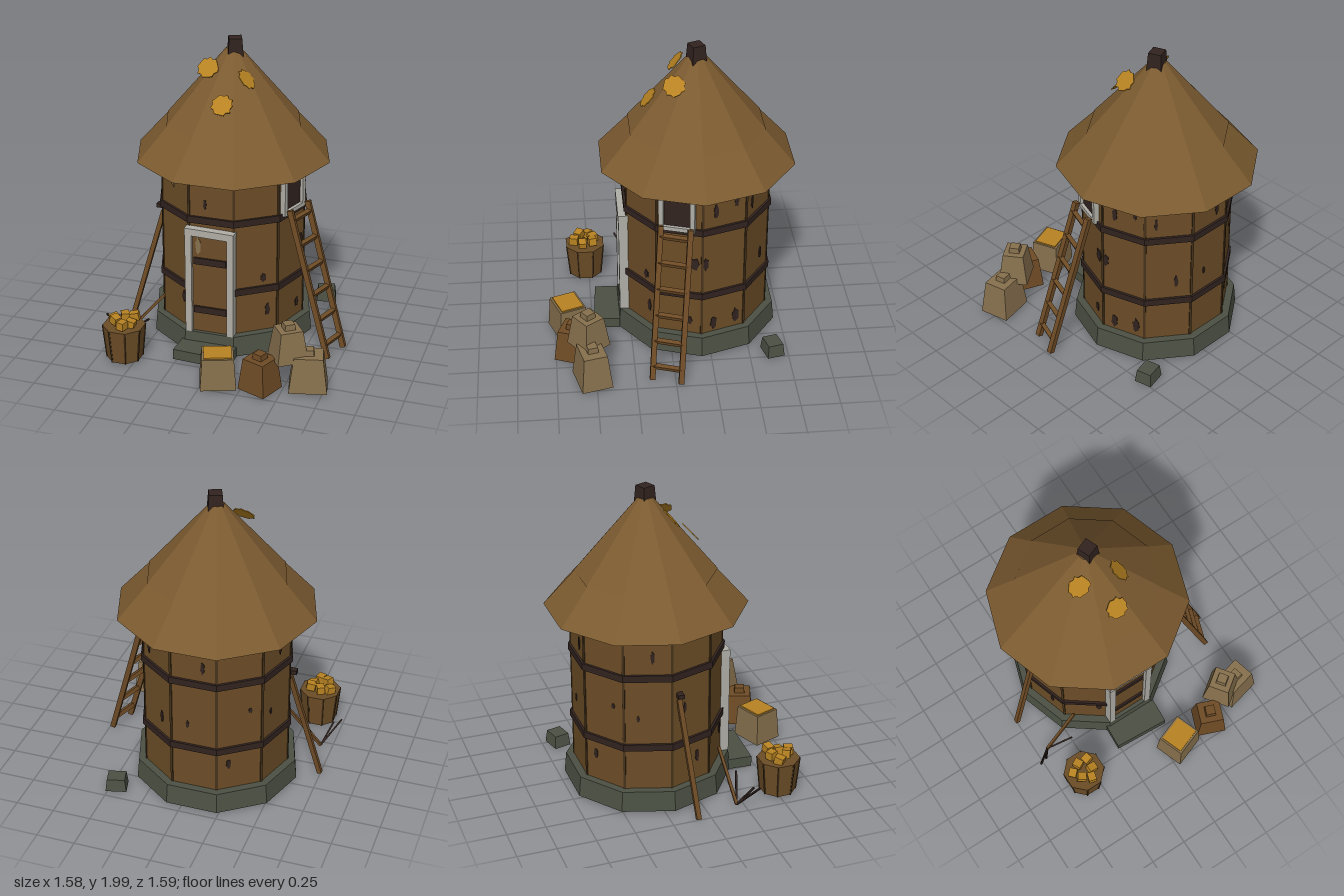
import * as THREE from 'three';

const mat = (name, color) => {
  const m = new THREE.MeshStandardMaterial({ color, side: THREE.DoubleSide });
  m.name = name;
  return m;
};

export function createModel() {
  const model = new THREE.Group();
  const M = {
    thatch: mat('thatch', 0x7c5b30),
    plank: mat('plank wood', 0x6c4d27),
    seam: mat('dark wood', 0x45321a),
    iron: mat('iron', 0x31231f),
    stone: mat('stone', 0x4c5144),
    frame: mat('pale trim', 0xb0aea6),
    straw: mat('straw', 0xb88322),
    sack: mat('sackcloth', 0x86704d),
    pole: mat('pole wood', 0x6e4b25),
  };
  const CX = -0.073, CZ = -0.19, APOTHEM = 0.48 * Math.cos(Math.PI / 10);
  const V = (...p) => new THREE.Vector3(...p);

  // Faceted mesh helper
  function add(parent, name, geo, material, x = 0, y = 0, z = 0, ry = 0) {
    const g = geo.index ? geo.toNonIndexed() : geo;
    g.computeVertexNormals();
    const mesh = new THREE.Mesh(g, material);
    mesh.name = name;
    mesh.position.set(x, y, z);
    mesh.rotation.y = ry;
    parent.add(mesh);
    return mesh;
  }
  const box = (w, h, d) => new THREE.BoxGeometry(w, h, d);
  function group(name, x = 0, y = 0, z = 0, ry = 0, parent = model) {
    const g = new THREE.Group();
    g.name = name;
    g.position.set(x, y, z);
    g.rotation.y = ry;
    parent.add(g);
    return g;
  }
  // Ten-sided ring section between two heights
  function ring(name, rTop, rBottom, y0, y1, material) {
    const g = new THREE.CylinderGeometry(rTop, rBottom, y1 - y0, 10, 1, false, Math.PI / 2);
    return add(model, name, g, material, CX, (y0 + y1) / 2, CZ);
  }
  // Four-sided tapered block standing on y = 0
  function taper(w, h, d, top) {
    const r = Math.SQRT1_2;
    const g = new THREE.CylinderGeometry(r * top, r, h, 4, 1, false, Math.PI / 4);
    return g.scale(w, 1, d).translate(0, h / 2, 0);
  }
  // Square bar between two points
  function bar(parent, name, a, b, w, material, d = w) {
    const m = add(parent, name, box(w, a.distanceTo(b), d), material);
    m.position.copy(a).lerp(b, 0.5);
    m.quaternion.setFromUnitVectors(V(0, 1, 0), b.clone().sub(a).normalize());
    return m;
  }
  // Ragged flat outline
  function ragged(rx, ry, n, seed, rough) {
    const pts = [];
    for (let i = 0; i < n; i++) {
      const a = i / n * Math.PI * 2;
      const k = 1 - rough * (0.5 + 0.5 * Math.sin(i * 2.7 + seed * 1.9));
      pts.push(new THREE.Vector2(Math.cos(a) * rx * k, Math.sin(a) * ry * k));
    }
    return new THREE.ExtrudeGeometry(new THREE.Shape(pts), { depth: 0.006, bevelEnabled: false });
  }

  // Tower body
  ring('stoneBase', 0.53, 0.543, 0.02, 0.155, M.stone);
  ring('wall', 0.48, 0.48, 0.155, 1.235, M.plank);
  ring('lowerBand', 0.496, 0.496, 0.43, 0.475, M.iron);
  ring('upperBand', 0.496, 0.496, 0.91, 0.955, M.iron);
  ring('eaves', 0.435, 0.64, 1.23, 1.46, M.thatch);
  ring('upperThatch', 0.045, 0.445, 1.455, 1.93, M.thatch);
  for (let i = 0; i < 10; i++) {
    const a = i * Math.PI / 5;
    add(model, 'wallSeam', box(0.016, 1.075, 0.012), M.seam,
      CX + 0.477 * Math.cos(a), 0.692, CZ + 0.477 * Math.sin(a), Math.PI / 2 - a);
  }
  add(model, 'finial', taper(0.105, 0.17, 0.105, 0.78), M.iron, -0.06, 1.83, -0.187, 0.38);

  // One group per wall face, with its local +z pointing outward
  const faces = [];
  for (let i = 0; i < 10; i++) {
    const a = (i + 0.5) * Math.PI / 5;
    faces.push(group('wallFace', CX + APOTHEM * Math.cos(a), 0, CZ + APOTHEM * Math.sin(a), Math.PI / 2 - a));
  }

  // Door
  const door = group('door', 0, 0, 0, 0, faces[2]);
  add(door, 'doorLeaf', box(0.25, 0.69, 0.03), M.plank, 0, 0.5, 0.008);
  for (const y of [0.312, 0.657]) add(door, 'doorStrap', box(0.215, 0.045, 0.02), M.iron, 0, y, 0.026);
  for (const s of [-1, 1]) add(door, 'doorPost', box(0.043, 0.7, 0.06), M.frame, s * 0.139, 0.505, 0.02);
  add(door, 'doorLintel', box(0.325, 0.048, 0.066), M.frame, 0, 0.858, 0.02).rotation.z = -0.025;

  // Window
  const win = group('window', 0, 1.067, 0, 0, faces[0]);
  add(win, 'windowPane', box(0.18, 0.21, 0.02), M.iron, -0.01, 0, 0.004);
  for (const s of [-1, 1]) {
    add(win, 'windowSide', box(0.03, 0.255, 0.05), M.frame, s * 0.1 - 0.012, 0, 0.01);
    add(win, 'windowRail', box(0.2, 0.028, 0.05), M.frame, -0.012, s * 0.113, 0.01);
  }

  // Weathered blotches: face, offset, height, half width, half height
  const blotches = [
    [0, 0.1, 0.69, 0.035, 0.05], [9, -0.125, 0.69, 0.022, 0.05], [9, -0.06, 1.07, 0.018, 0.06],
    [9, 0.08, 1.12, 0.016, 0.055], [9, -0.065, 0.22, 0.025, 0.055], [9, 0.09, 0.24, 0.026, 0.06],
    [0, 0.07, 0.25, 0.02, 0.035], [1, 0.03, 1.18, 0.03, 0.012], [1, 0.05, 0.53, 0.022, 0.035],
    [1, 0.08, 0.3, 0.018, 0.05], [2, -0.04, 1.04, 0.012, 0.04], [3, 0.09, 0.36, 0.02, 0.045],
    [8, 0.05, 0.6, 0.015, 0.05], [8, -0.08, 1.05, 0.012, 0.05], [7, 0.06, 1.05, 0.015, 0.05],
    [7, -0.04, 0.62, 0.012, 0.03], [6, 0.07, 0.72, 0.015, 0.02], [6, -0.07, 0.34, 0.018, 0.04],
    [5, 0.03, 1.07, 0.014, 0.05], [5, -0.06, 0.65, 0.012, 0.025], [4, 0.05, 0.32, 0.016, 0.05],
    [4, -0.05, 0.7, 0.012, 0.04],
  ];
  blotches.forEach(([f, u, y, rx, ry], i) =>
    add(faces[f], 'woodStain', ragged(rx, ry, 11, i, 0.3), M.iron, u, y, -0.001));
  add(faces[3], 'bareWood', ragged(0.022, 0.075, 11, 3, 0.3), M.sack, -0.02, 1.16, -0.001);
  add(faces[2], 'bareWood', ragged(0.02, 0.07, 11, 5, 0.3), M.sack, -0.08, 0.76, 0.02);

  // Loose straw tufts on the roof: position and facing
  [[V(-0.05, 1.65, 0.11), V(0, 0.66, 0.75)],
    [V(0.06, 1.78, -0.04), V(0.73, 0.67, 0.1)],
    [V(-0.2, 1.82, -0.07), V(-0.08, 0.66, 0.75)]].forEach(([p, n], i) => {
    const tuft = add(model, 'strawTuft', ragged(0.074, 0.074, 20, i, 0.2), M.straw);
    tuft.position.copy(p);
    tuft.quaternion.setFromUnitVectors(V(0, 0, 1), n.normalize());
  });

  // Doorstep and loose stone
  add(model, 'doorStep', box(0.37, 0.07, 0.17), M.stone, -0.078, 0.055, 0.395, -0.06);
  add(model, 'looseStone', taper(0.135, 0.085, 0.115, 0.85), M.stone, 0.455, 0.02, -0.65, 0.25);

  // Ladder
  const ladder = group('ladder');
  const rails = [[V(0.67, 0.015, 0.148), V(0.385, 0.985, 0.07)], [V(0.73, 0.015, -0.03), V(0.45, 0.985, -0.11)]];
  for (const [a, b] of rails) bar(ladder, 'ladderRail', a, b, 0.034, M.pole);
  for (let i = 0; i < 6; i++) {
    const t = 0.09 + i * 0.169;
    const [a, b] = rails.map(r => r[0].clone().lerp(r[1], t));
    bar(ladder, 'ladderRung', a, b, 0.028, M.pole);
  }

  // Sacks: x, y, z, turn, width, height, depth, top ratio, cloth
  const sacks = [
    [0.365, 0.02, 0.637, -0.37, 0.2, 0.21, 0.19, 0.78, M.pole],
    [0.645, 0.02, 0.525, 0.24, 0.24, 0.23, 0.2, 0.76, M.sack],
    [0.517, 0.21, 0.54, 0.63, 0.2, 0.205, 0.19, 0.72, M.sack],
  ];
  for (const [x, y, z, ry, w, h, d, top, cloth] of sacks) {
    const g = group('sack', x, y, z, ry);
    add(g, 'sackBody', taper(w, h, d, top), cloth);
    add(g, 'sackKnot', taper(0.07, 0.04, 0.07, 0.9), cloth, 0, h - 0.003, 0);
  }
  const grain = group('openSack', 0.097, 0.02, 0.66, 0.35);
  add(grain, 'sackBody', taper(0.225, 0.21, 0.2, 0.88), M.sack);
  add(grain, 'grain', box(0.175, 0.014, 0.15), M.straw, 0, 0.212, 0);

  // Basket with straw cubes
  const basket = group('basket', -0.578, 0.02, 0.522);
  add(basket, 'basketTub', new THREE.CylinderGeometry(0.138, 0.115, 0.23, 8, 1, false, Math.PI / 8), M.plank, 0, 0.115, 0);
  for (let i = 0; i < 8; i++) {
    const a = (i + 0.5) * Math.PI / 4;
    bar(basket, 'basketStave', V(0.114 * Math.cos(a), 0, 0.114 * Math.sin(a)),
      V(0.136 * Math.cos(a), 0.23, 0.136 * Math.sin(a)), 0.009, M.seam);
  }
  for (let i = 0; i < 6; i++) {
    const a = i * 1.05 + 0.3, r = i % 2 ? 0.075 : 0.055;
    const cube = add(basket, 'strawChunk', box(0.058, 0.052, 0.052), M.straw,
      r * Math.cos(a), 0.25 + 0.012 * (i % 3), r * Math.sin(a), i * 1.3);
    cube.rotation.z = 0.2 * (i % 3 - 1);
  }

  // Leaning pole and its wall hook
  bar(model, 'leaningPole', V(-0.745, 0.015, -0.082), V(-0.54, 0.77, -0.14), 0.03, M.pole);
  add(model, 'wallHook', box(0.05, 0.028, 0.04), M.iron, -0.56, 0.805, -0.14);

  // Pitchfork
  const fork = group('pitchfork'), head = V(-0.675, 0.02, 0.2);
  bar(fork, 'forkHandle', head, V(-0.43, 0.31, 0.17), 0.018, M.pole);
  for (const tip of [V(-0.785, 0.18, 0.31), V(-0.735, 0.16, 0.29), V(-0.51, 0.16, 0.26)])
    bar(fork, 'forkTine', head, tip, 0.011, M.iron);

  return model;
}
